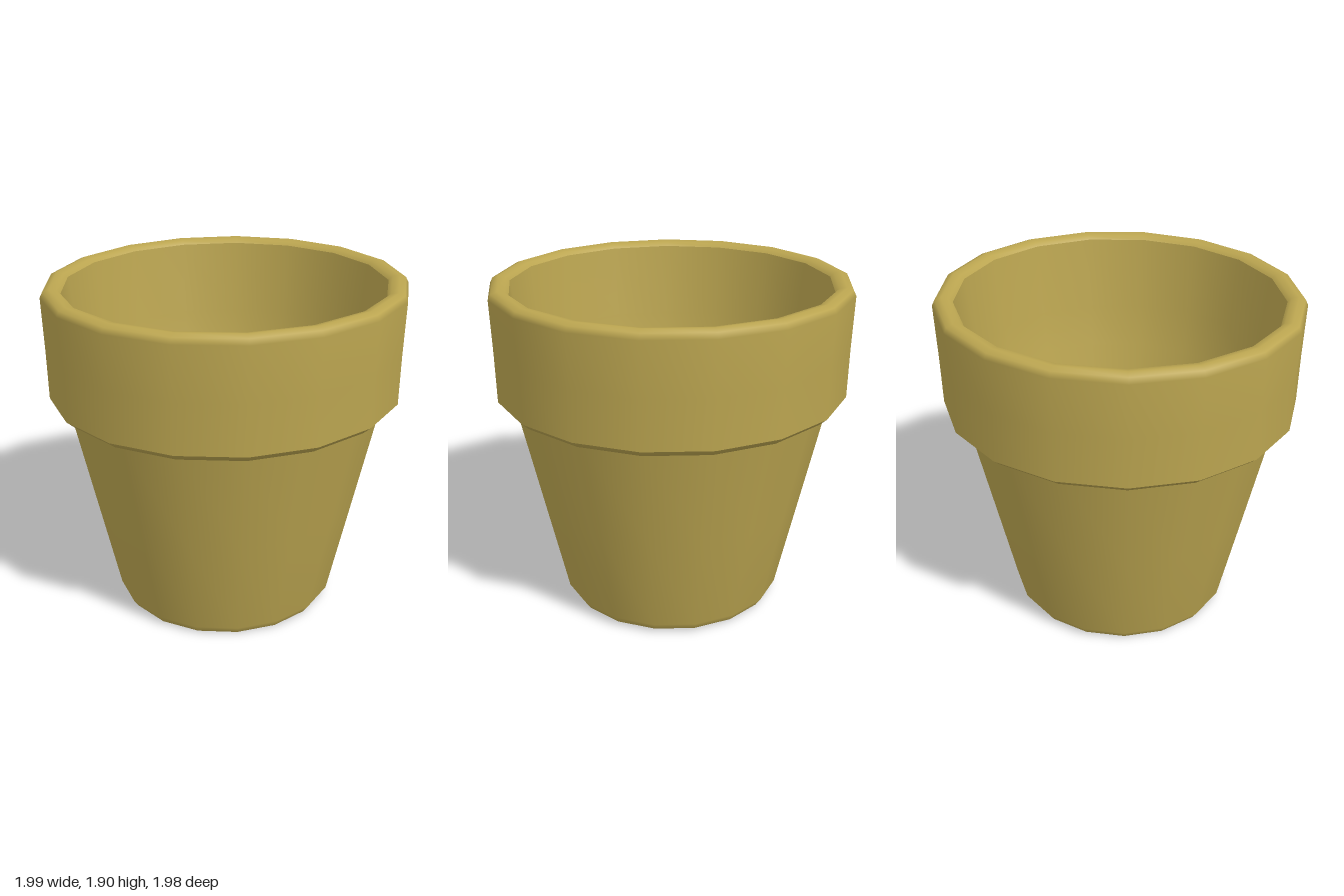
import * as THREE from 'three';

const SIDES = 17;

export function createModel() {
  const group = new THREE.Group();
  group.name = 'flowerPot';
  const clay = new THREE.MeshStandardMaterial({ color: 0xbba550 });
  clay.name = 'ochre clay';

  // Revolve a [radius, height] profile, then lean it slightly for a hand-thrown look
  const turn = (name, profile) => {
    const points = profile.map(([r, y]) => new THREE.Vector2(r, y));
    const geo = new THREE.LatheGeometry(points, SIDES, Math.PI / SIDES);
    const pos = geo.attributes.position;
    for (let i = 0; i < pos.count; i++) {
      pos.setY(i, pos.getY(i) + 0.01 * (pos.getX(i) - pos.getZ(i)));
    }
    const mesh = new THREE.Mesh(geo, clay);
    mesh.name = name;
    group.add(mesh);
  };

  // Tapered outer wall with a small bevel at the foot
  turn('outerWall', [[0.605, 0.01], [0.635, 0.055], [0.76, 0.63], [0.89, 1.23]]);
  // Ledge under the thick collar
  turn('collarUnderside', [[0.88, 1.225], [0.94, 1.235], [0.985, 1.275]]);
  // Collar face, rounded over at the lip
  turn('collar', [[0.985, 1.275], [0.99, 1.55], [1.0, 1.845], [0.985, 1.875], [0.95, 1.888], [0.91, 1.88], [0.89, 1.86]]);
  // Inside wall running down to the floor
  turn('innerWall', [[0.89, 1.86], [0.84, 1.45], [0.8, 1.2], [0.68, 0.65], [0.57, 0.16]]);
  // Floor, dipping to the drain hole
  turn('floor', [[0.57, 0.16], [0.34, 0.14], [0.14, 0.12], [0.105, 0.1]]);
  // Drain hole wall
  turn('drainHole', [[0.105, 0.1], [0.105, 0.015]]);
  // Base ring
  turn('base', [[0.105, 0.015], [0.35, 0.012], [0.605, 0.01]]);

  return group;
}
